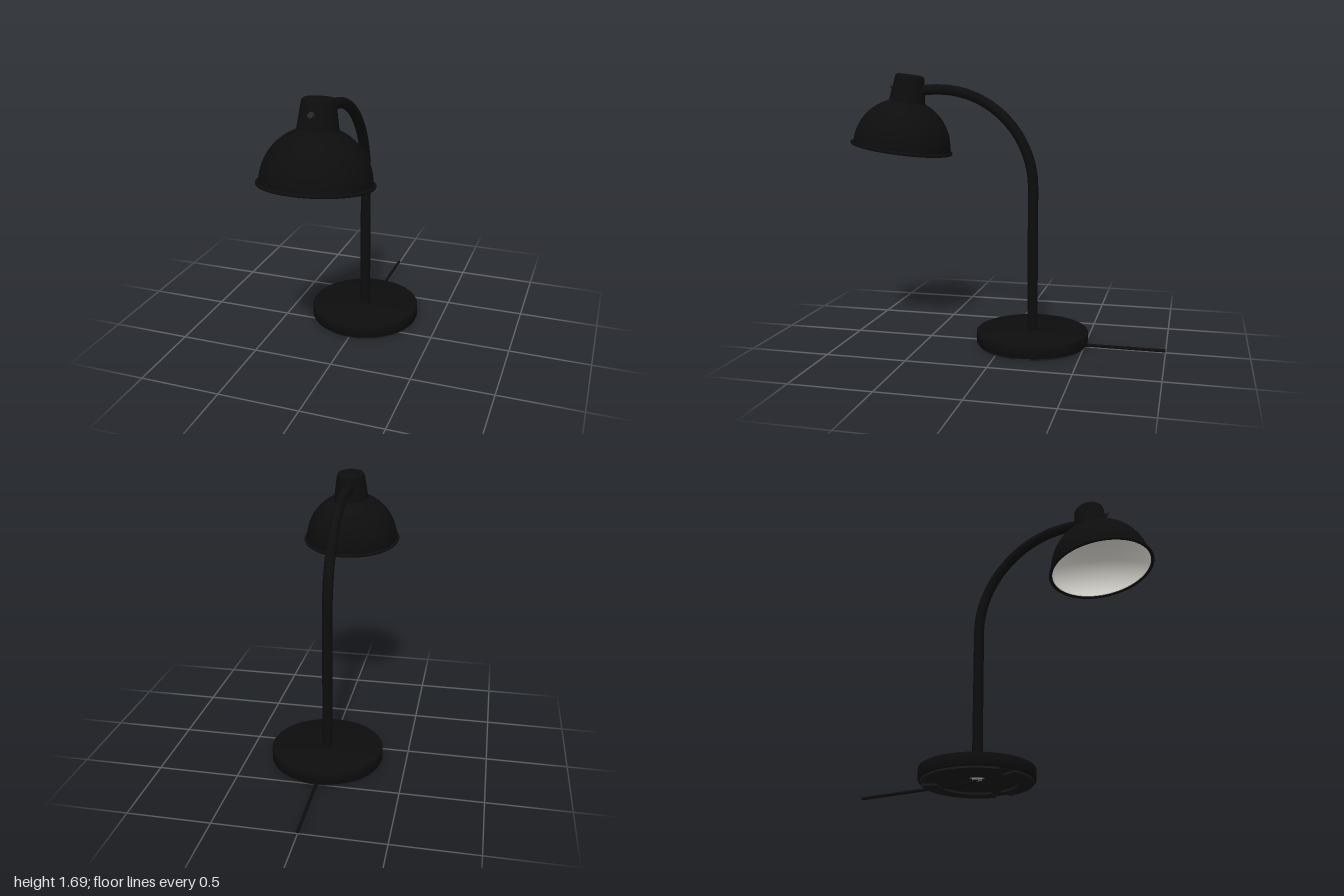
import * as THREE from 'three';
import { toCreasedNormals } from 'three/addons/utils/BufferGeometryUtils.js';

const mat = (name, color, side = THREE.FrontSide) => {
  const m = new THREE.MeshStandardMaterial({ color, side });
  m.name = name;
  return m;
};

export function createModel() {
  const black = mat('black paint', 0x0d0d0d);
  const rubber = mat('dark rubber', 0x191919);
  const white = mat('white enamel', 0xeeece4);
  const steel = mat('steel', 0x8a8a88);
  const darkSteel = mat('dark steel', 0x2a2a2a);

  const lamp = new THREE.Group();
  lamp.name = 'deskLamp';
  const add = (parent, name, geometry, material, x = 0, y = 0, z = 0) => {
    const mesh = new THREE.Mesh(geometry, material);
    mesh.name = name;
    mesh.position.set(x, y, z);
    parent.add(mesh);
    return mesh;
  };
  const lathe = (points, segments = 72) => toCreasedNormals(
    new THREE.LatheGeometry(points.map(([r, y]) => new THREE.Vector2(r, y)), segments), 0.6);

  // Round weighted base with a recess underneath
  const baseZ = -0.17;
  const base = new THREE.Group();
  base.name = 'base';
  base.position.z = baseZ;
  lamp.add(base);
  add(base, 'baseDisc', lathe([[0.34, 0.012], [0.347, 0.014], [0.35, 0.02], [0.35, 0.084],
    [0.348, 0.088], [0.343, 0.09], [0, 0.09]]), black);
  add(base, 'baseUnderside', lathe([[0, 0.045], [0.06, 0.045], [0.1, 0.012], [0.34, 0.012]]), rubber);

  // Three arc pads under the base
  for (let i = 0; i < 3; i++) {
    const start = i * Math.PI * 2 / 3 + 0.15, end = start + Math.PI * 2 / 3 - 0.3;
    const arc = new THREE.Shape();
    arc.absarc(0, 0, 0.335, start, end, false);
    arc.absarc(0, 0, 0.24, end, start, true);
    const pad = new THREE.ExtrudeGeometry(arc, { depth: 0.012, bevelEnabled: false, curveSegments: 24 });
    pad.rotateX(-Math.PI / 2);
    add(base, 'footPad', pad, rubber);
  }

  // Fixing nut in the recess
  add(base, 'washer', new THREE.CylinderGeometry(0.05, 0.05, 0.006, 32), steel, 0, 0.043, 0);
  add(base, 'nut', new THREE.CylinderGeometry(0.033, 0.033, 0.02, 6), steel, 0, 0.034, 0);

  // Power cord running out of the back
  const cord = new THREE.CatmullRomCurve3([
    [0, 0.04, baseZ + 0.01], [0, 0.02, baseZ - 0.02], [0, 0.012, baseZ - 0.08],
    [0, 0.012, -0.6], [0, 0.012, -1],
  ].map(p => new THREE.Vector3(...p)));
  add(lamp, 'powerCord', new THREE.TubeGeometry(cord, 48, 0.01, 12), black);
  add(lamp, 'cordEnd', new THREE.CircleGeometry(0.01, 12), black, 0, 0.012, -1).rotation.y = Math.PI;

  // Upright post bending forward into the shade
  const R = 0.6, arcPoints = [];
  for (let i = 0; i <= 16; i++) {
    const a = i / 16 * Math.PI / 2;
    arcPoints.push(new THREE.Vector3(0, 0.99 + R * Math.sin(a), baseZ + R - R * Math.cos(a)));
  }
  arcPoints.push(new THREE.Vector3(0, 1.588, 0.5), new THREE.Vector3(0, 1.58, 0.57));
  add(lamp, 'post', new THREE.CylinderGeometry(0.032, 0.032, 0.92, 32), black, 0, 0.53, baseZ);
  add(lamp, 'curvedArm', new THREE.TubeGeometry(new THREE.CatmullRomCurve3(arcPoints), 64, 0.032, 32), black);

  // Tilted shade, its origin at the centre of the rim
  const shade = new THREE.Group();
  shade.name = 'shade';
  shade.position.set(0, 1.222, 0.68);
  shade.rotation.x = -0.14;
  lamp.add(shade);

  const dome = (radius, lowY, neckR) => {
    const top = Math.acos(neckR / radius);
    return Array.from({ length: 21 }, (_, i) => {
      const a = top * i / 20;
      return [radius * Math.cos(a), lowY + radius * Math.sin(a)];
    });
  };
  add(shade, 'shadeShell', lathe(dome(0.306, 0.008, 0.113)), black);
  add(shade, 'shadeLining', lathe([[0.308, 0], ...dome(0.3, 0.006, 0.09), [0, 0.294]].reverse()), white);
  const rim = new THREE.TorusGeometry(0.313, 0.01, 12, 72);
  rim.rotateX(Math.PI / 2);
  add(shade, 'rolledRim', rim, black, 0, 0.004, 0);

  // Tapered neck with a rounded cap
  add(shade, 'neck', lathe([[0.117, 0.282], [0.113, 0.3], [0.093, 0.438], [0.09, 0.45],
    [0.083, 0.459], [0.073, 0.463], [0, 0.464]], 48), black);

  // Fixing screw on the front of the neck
  const screw = new THREE.CylinderGeometry(0.014, 0.018, 0.022, 24);
  screw.rotateX(Math.PI / 2);
  add(shade, 'screw', screw, darkSteel, 0, 0.378, 0.11);

  return lamp;
}
